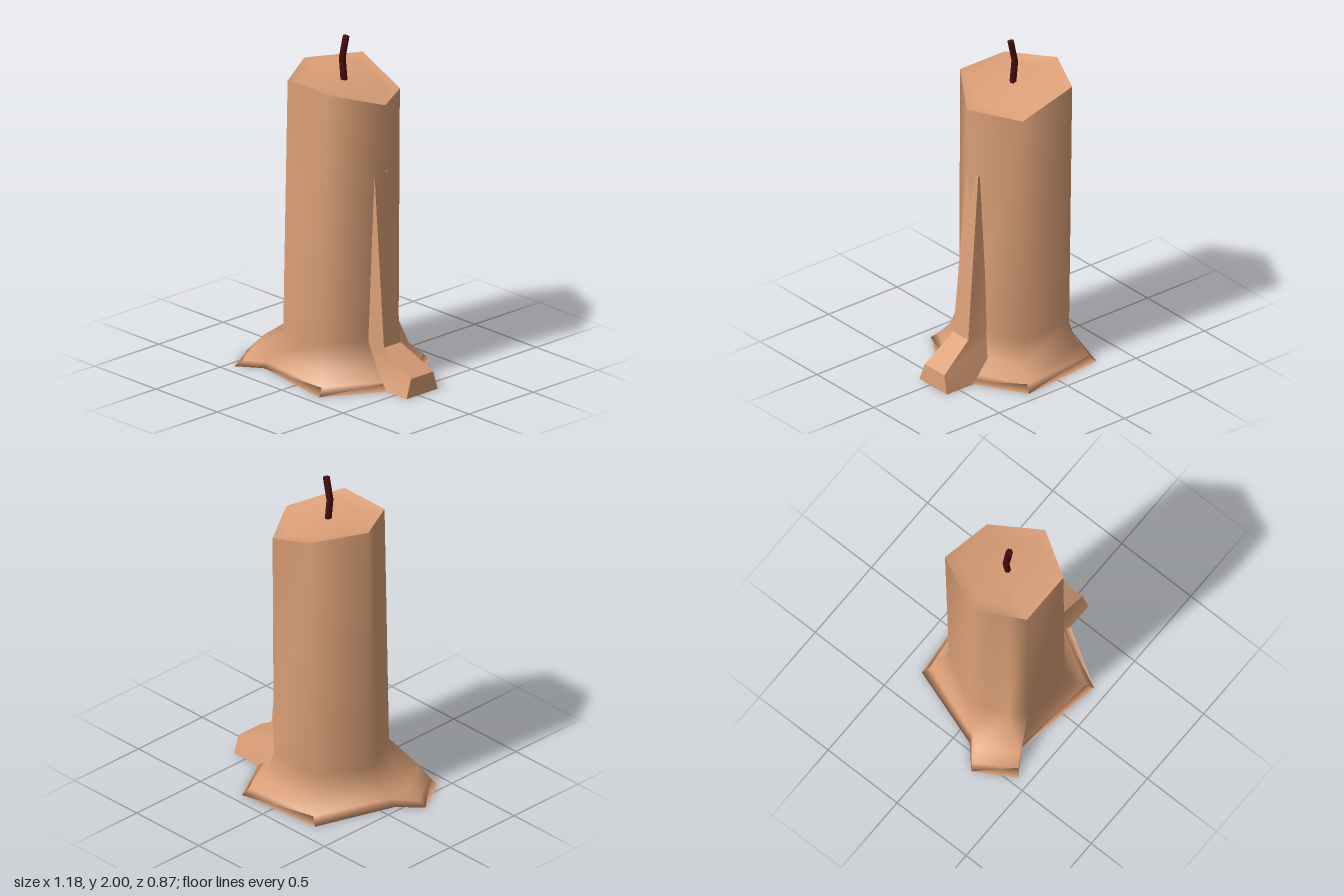
import * as THREE from 'three';
import { toCreasedNormals } from 'three/addons/utils/BufferGeometryUtils.js';

const wax = new THREE.MeshStandardMaterial({ color: 0xdca078 });
wax.name = 'wax';
const char = new THREE.MeshStandardMaterial({ color: 0x480c10 });
char.name = 'charred wick';

// Skins rings of [x, y, z] points, listed upwards, with optional fan caps.
function loft(rings, bottom, top) {
  const n = rings[0].length;
  const pos = rings.flat();
  const index = [];
  for (let r = 0; r < rings.length - 1; r++) {
    for (let i = 0; i < n; i++) {
      const a = r * n + i, b = r * n + (i + 1) % n;
      index.push(a, a + n, b, b, a + n, b + n);
    }
  }
  const cap = (centre, start, up) => {
    const c = pos.push(centre) - 1;
    for (let i = 0; i < n; i++) {
      const a = start + i, b = start + (i + 1) % n;
      index.push(c, up ? b : a, up ? a : b);
    }
  };
  if (bottom) cap(bottom, 0, false);
  if (top) cap(top, (rings.length - 1) * n, true);
  const g = new THREE.BufferGeometry();
  g.setAttribute('position', new THREE.Float32BufferAttribute(pos.flat(), 3));
  g.setIndex(index);
  g.computeVertexNormals();
  return g;
}

function part(name, geometry, material) {
  const m = new THREE.Mesh(geometry, material);
  m.name = name;
  return m;
}

const level = (y, pts) => pts.map(([x, z]) => [x, y, z]);
const mix = (p, q, t) => p.map((v, i) => v + (q[i] - v) * t);

// Adds two points on the front-right edge of a hexagon, where the foot swells out.
const withFoot = (h) => [...h.slice(0, 3), mix(h[2], h[3], 0.33), mix(h[2], h[3], 0.67), ...h.slice(3)];

export function createModel() {
  const group = new THREE.Group();
  group.name = 'candle';

  // Uneven rim and the six-sided body, spreading into a foot of melted wax
  const rim = withFoot([
    [0.32, 1.67, 0], [0.14, 1.75, 0.277], [-0.185, 1.75, 0.277],
    [-0.34, 1.775, 0], [-0.19, 1.77, -0.312], [0.145, 1.65, -0.28],
  ]);
  const waist = withFoot(level(0.25, [
    [0.27, 0], [0.13, 0.295], [-0.2, 0.297], [-0.36, 0.01], [-0.19, -0.285], [0.13, -0.285],
  ]));
  const body = loft([
    level(0, [[0.485, 0], [0.23, 0.427], [-0.32, 0.335], [-0.455, 0.432],
      [-0.59, 0.205], [-0.465, 0.09], [-0.307, -0.385], [0.23, -0.437]]),
    level(0.04, [[0.42, 0], [0.205, 0.385], [-0.29, 0.33], [-0.42, 0.405],
      [-0.56, 0.185], [-0.43, 0.08], [-0.265, -0.36], [0.21, -0.4]]),
    level(0.11, [[0.33, 0], [0.16, 0.335], [-0.24, 0.312], [-0.365, 0.375],
      [-0.495, 0.16], [-0.395, 0.05], [-0.22, -0.32], [0.16, -0.335]]),
    waist,
    rim,
  ], [0, 0, 0]);
  group.add(part('body', body, wax));

  // Shallow melted top
  const pool = rim.map(([x, y, z]) => [x * 0.74, y * 0.7 + 1.735 * 0.3 - 0.02, z * 0.74]);
  group.add(part('meltedTop', loft([rim, pool], null, [-0.01, 1.735, 0]), wax));

  // Long drip running down the left side and out along the ground
  const drip = [
    [0, 0.59, -0.148, 0.092],
    [0.11, 0.585, -0.12, 0.053],
    [0.24, 0.37, -0.072, 0.058],
    [1.25, 0.283, -0.055, 0.048],
  ].map(([y, x, z0, z1]) => [[x, y, z1], [0.2, y, z1], [0.2, y, z0], [x, y, z0]]);
  group.add(part('waxDrip', toCreasedNormals(loft(drip, [0.4, 0, -0.03], [0.25, 1.25, 0]), 0.8), wax));

  // Bent wick
  const wickRing = ([x, y, tilt]) => Array.from({ length: 6 }, (_, i) => {
    const a = (i * Math.PI) / 3;
    const dx = 0.02 * Math.cos(a);
    return [x + dx, y + dx * tilt, 0.02 * Math.sin(a)];
  });
  const wick = loft([[-0.015, 1.72, 0.1], [-0.03, 1.86, 0], [0, 1.996, -0.2]].map(wickRing),
    [-0.015, 1.72, 0], [0, 1.996, 0]);
  group.add(part('wick', toCreasedNormals(wick, 1.1), char));

  return group;
}
